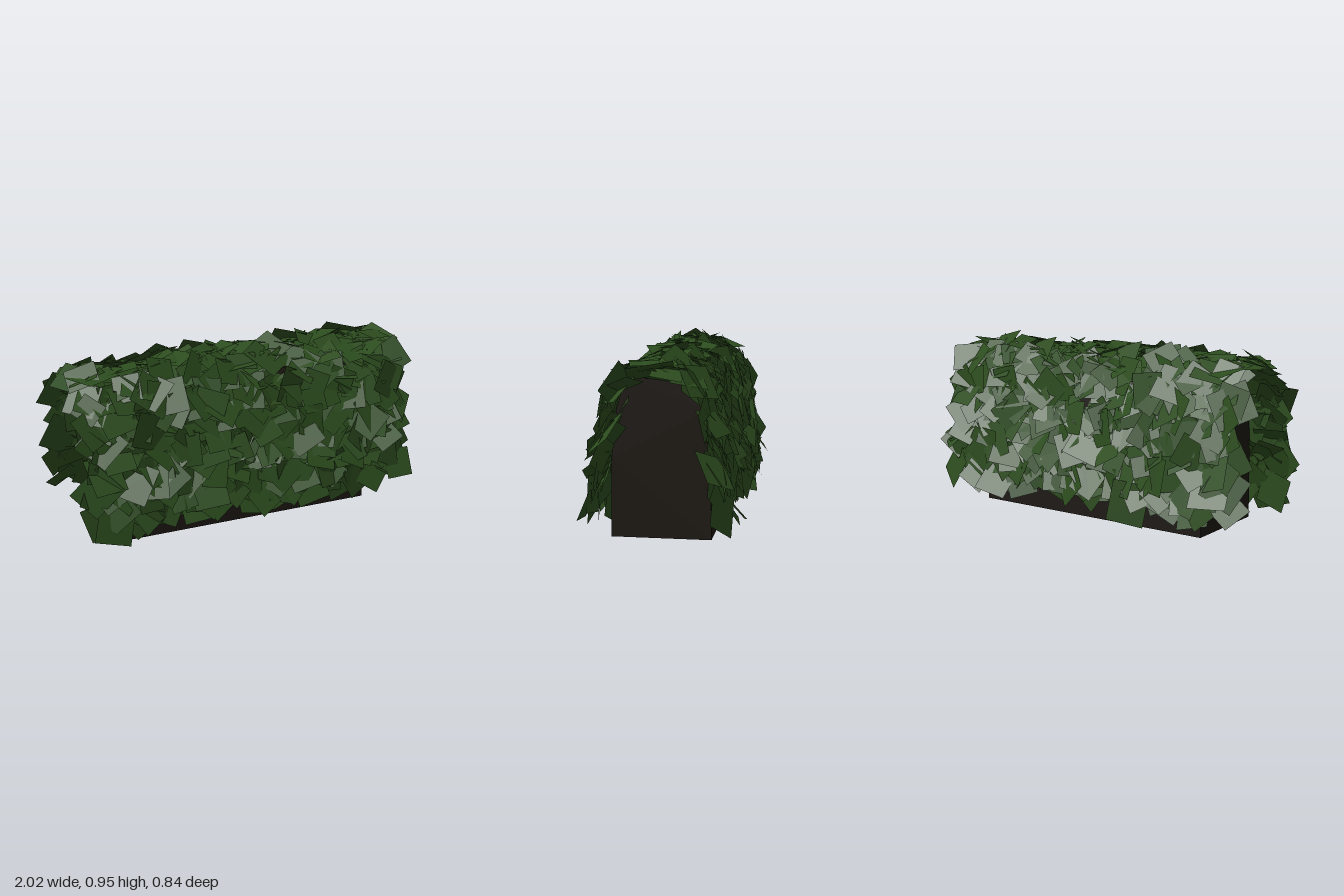
import * as THREE from 'three';
import { mergeGeometries } from 'three/addons/utils/BufferGeometryUtils.js';

// Small seeded random generator
function seeded(seed) {
  return () => {
    seed = (seed * 1664525 + 1013904223) >>> 0;
    return seed / 4294967296;
  };
}

// Dark woody core: an upright block with its top edges hidden in the leaves
function makeCore() {
  const half = [[0.25, 0], [0.245, 0.4], [0.22, 0.64], [0.17, 0.8]];
  const outline = [...half, ...half.map(([z, y]) => [-z, y]).reverse()];
  const shape = new THREE.Shape(outline.map(([z, y]) => new THREE.Vector2(z, y)));
  const geometry = new THREE.ExtrudeGeometry(shape, { depth: 1.41, bevelEnabled: false });
  geometry.translate(0, 0, -0.71).rotateY(Math.PI / 2);
  const core = new THREE.Mesh(geometry, new THREE.MeshStandardMaterial({ color: 0x1d1813, flatShading: true }));
  core.name = 'hedgeCore';
  return core;
}

// Leaf cards scattered along an arched cross-section, open at both ends
function makeLeaves() {
  const rand = seeded(7);
  const spread = (r) => (rand() * 2 - 1) * r;
  const half = [[0.315, 0.14], [0.31, 0.28], [0.285, 0.45], [0.25, 0.62], [0.205, 0.75], [0.11, 0.84]];
  const arch = new THREE.CatmullRomCurve3(
    [...half, [0, 0.86], ...half.map(([z, y]) => [-z, y]).reverse()]
      .map(([z, y]) => new THREE.Vector3(0, y, z)));
  const rows = 21, columns = 32;
  const cards = [];
  const along = new THREE.Vector3(1, 0, 0);
  const basis = new THREE.Matrix4();
  for (let i = 0; i < rows; i++) {
    for (let j = 0; j < columns; j++) {
      const u = THREE.MathUtils.clamp((i + 0.5 + spread(0.6)) / rows, 0, 1);
      const x = THREE.MathUtils.clamp(((j + 0.5 + spread(0.6)) / columns * 2 - 1) * 0.89, -0.88, 0.88);
      const point = arch.getPointAt(u);
      const tangent = arch.getTangentAt(u);
      const outward = new THREE.Vector3().crossVectors(along, tangent);
      const size = 0.12 + rand() * 0.08;
      const card = new THREE.PlaneGeometry(size, size * (0.85 + rand() * 0.3));
      // Leaves on the sides lean to face upward
      const lean = (u - 0.5) * 0.6;
      card.rotateZ(rand() * Math.PI * 2).rotateX(lean + spread(0.4)).rotateY(spread(0.45));
      basis.makeBasis(along, tangent, outward);
      point.addScaledVector(outward, spread(0.03));
      basis.setPosition(x, point.y, point.z);
      cards.push(card.applyMatrix4(basis));
    }
  }
  const leaves = new THREE.Mesh(mergeGeometries(cards), new THREE.MeshStandardMaterial({
    color: 0x2c4c1e, flatShading: true, side: THREE.DoubleSide,
  }));
  leaves.name = 'hedgeLeaves';
  return leaves;
}

export function createModel() {
  const hedge = new THREE.Group();
  hedge.name = 'hedge';
  hedge.add(makeCore(), makeLeaves());
  return hedge;
}
